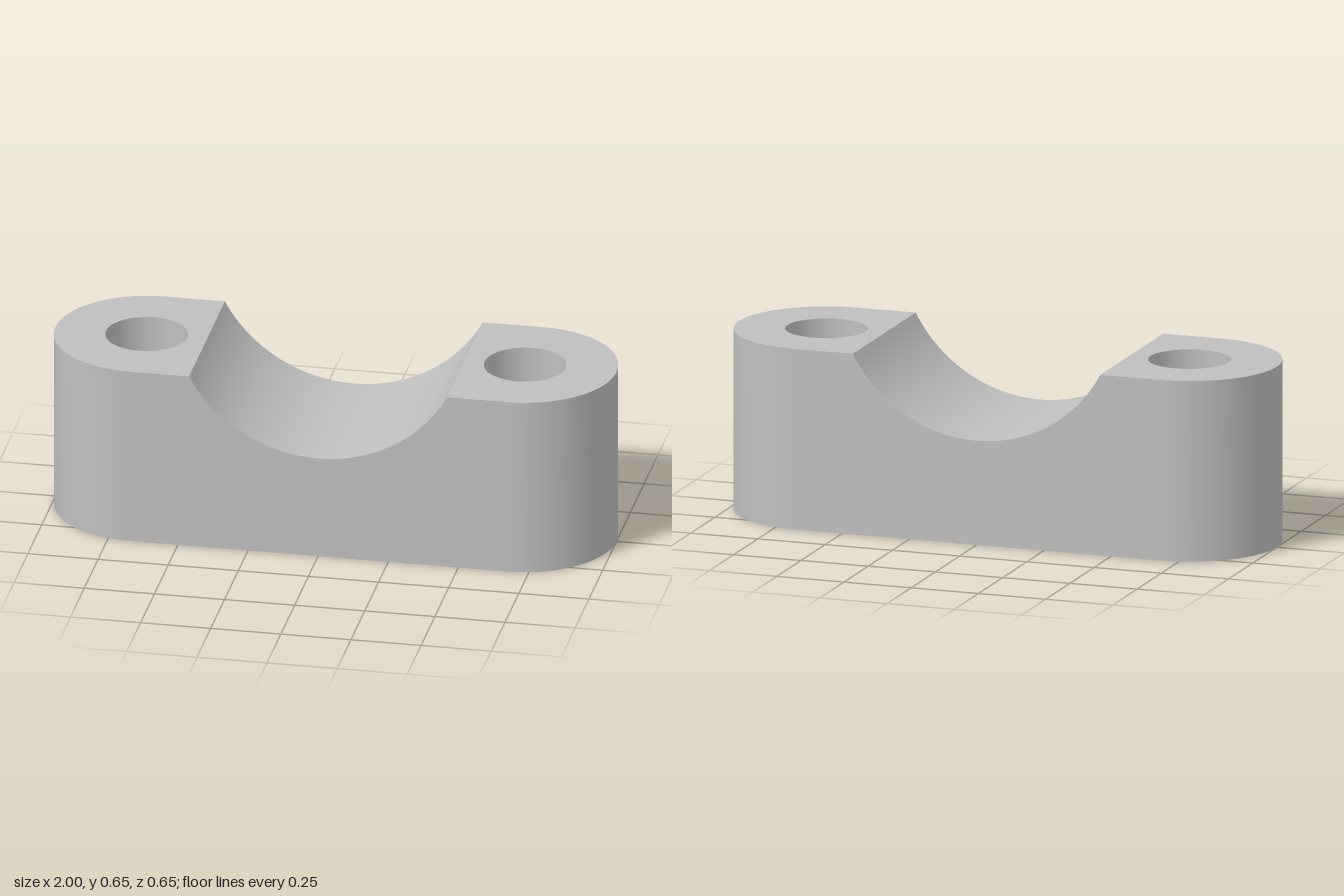
import * as THREE from 'three';
import { mergeGeometries, toCreasedNormals } from 'three/addons/utils/BufferGeometryUtils.js';

const HEIGHT = 0.65, END_RADIUS = 0.325, END_X = 0.675, HOLE_RADIUS = 0.145;
const SADDLE_X = 0.46, SADDLE_Y = 0.375; // half width and lowest point of the saddle

// Rounded end with a bolt hole, extruded upwards
function endGeometry() {
  const shape = new THREE.Shape();
  shape.moveTo(SADDLE_X, -END_RADIUS);
  shape.lineTo(END_X, -END_RADIUS);
  shape.absarc(END_X, 0, END_RADIUS, -Math.PI / 2, Math.PI / 2, false);
  shape.lineTo(SADDLE_X, END_RADIUS);
  shape.closePath();
  const hole = new THREE.Path();
  hole.absarc(END_X, 0, HOLE_RADIUS, 0, Math.PI * 2, true);
  shape.holes.push(hole);
  return new THREE.ExtrudeGeometry(shape, { depth: HEIGHT, bevelEnabled: false, curveSegments: 24 })
    .rotateX(-Math.PI / 2);
}

// Middle block with a circular saddle, extruded front to back
function saddleGeometry() {
  const drop = HEIGHT - SADDLE_Y;
  const radius = (SADDLE_X ** 2 + drop ** 2) / (2 * drop);
  const centerY = SADDLE_Y + radius;
  const angle = Math.atan2(centerY - HEIGHT, SADDLE_X);
  const shape = new THREE.Shape();
  shape.moveTo(-SADDLE_X, 0);
  shape.lineTo(SADDLE_X, 0);
  shape.lineTo(SADDLE_X, HEIGHT);
  shape.absarc(0, centerY, radius, -angle, -Math.PI + angle, true);
  shape.closePath();
  return new THREE.ExtrudeGeometry(shape, { depth: 2 * END_RADIUS, bevelEnabled: false, curveSegments: 24 })
    .translate(0, 0, -END_RADIUS);
}

// Drop the hidden walls where the ends meet the middle block
function removeSeams(geometry) {
  const p = geometry.attributes.position, kept = [];
  for (let i = 0; i < p.count; i += 3) {
    const corners = [i, i + 1, i + 2];
    const onSeam = [-1, 1].some(s => corners.every(c => Math.abs(p.getX(c) - s * SADDLE_X) < 1e-4));
    if (!onSeam) corners.forEach(c => kept.push(p.getX(c), p.getY(c), p.getZ(c)));
  }
  const result = new THREE.BufferGeometry();
  result.setAttribute('position', new THREE.Float32BufferAttribute(kept, 3));
  result.computeVertexNormals();
  return result;
}

export function createModel() {
  const metal = new THREE.MeshStandardMaterial({ color: 0xbfbfbf });
  metal.name = 'light grey metal';

  const leftEnd = endGeometry();
  const rightEnd = leftEnd.clone().rotateY(Math.PI);
  const solid = removeSeams(mergeGeometries([leftEnd, rightEnd, saddleGeometry()]));

  const body = new THREE.Mesh(toCreasedNormals(solid, 0.5), metal);
  body.name = 'clampBody';

  const group = new THREE.Group();
  group.name = 'saddleClamp';
  group.add(body);
  return group;
}
